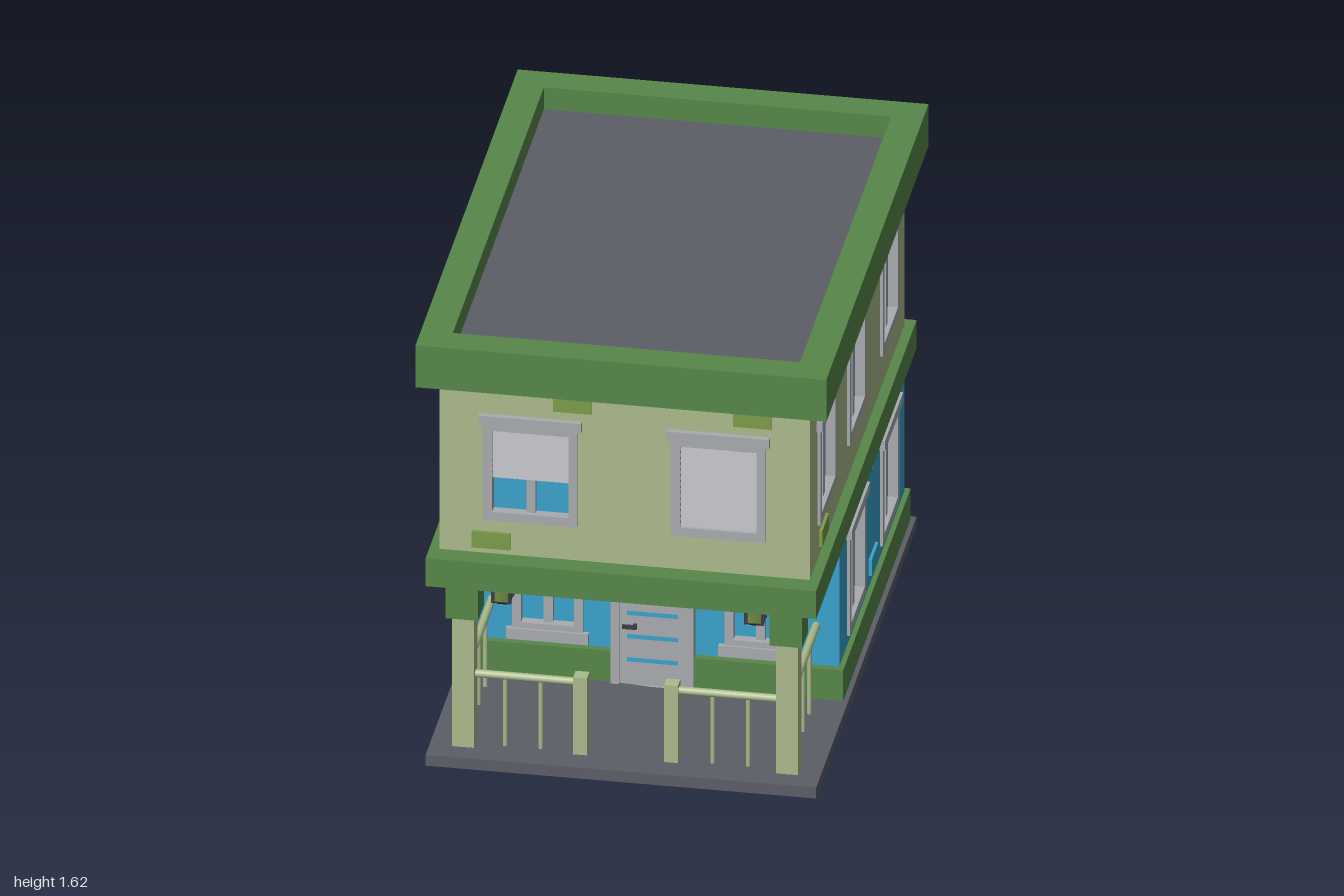
import * as THREE from 'three';

const mat = (name, color) => Object.assign(new THREE.MeshStandardMaterial({ color }), { name });

export function createModel() {
  const M = {
    green: mat('trim green', 0x58884a),
    pale: mat('pale wall green', 0xabbb8c),
    blue: mat('wall and glass blue', 0x3ba3cd),
    grey: mat('frame grey', 0xa9acb0),
    blind: mat('blind grey', 0xb4b6b9),
    slate: mat('slab slate', 0x5c5e67),
    olive: mat('brick olive', 0x7c9d4a),
    dark: mat('fitting dark', 0x3c3d45),
  };
  const root = new THREE.Group();
  root.name = 'house';

  const add = (parent, name, geo, material, x = 0, y = 0, z = 0) => {
    const m = new THREE.Mesh(geo, material);
    m.name = name;
    m.position.set(x, y, z);
    parent.add(m);
    return m;
  };
  // box given by its minimum and maximum along each axis
  const box = (parent, name, material, x0, x1, y0, y1, z0, z1) =>
    add(parent, name, new THREE.BoxGeometry(x1 - x0, y1 - y0, z1 - z0), material,
      (x0 + x1) / 2, (y0 + y1) / 2, (z0 + z1) / 2);
  const trace = (path, x0, x1, y0, y1) =>
    path.moveTo(x0, y0).lineTo(x1, y0).lineTo(x1, y1).lineTo(x0, y1).closePath();
  // rectangular plate with rectangular holes, running from z = 0 to depth
  const plate = (rect, holes, depth) => {
    const s = new THREE.Shape();
    trace(s, ...rect);
    holes.forEach(h => {
      const p = new THREE.Path();
      trace(p, ...h);
      s.holes.push(p);
    });
    return new THREE.ExtrudeGeometry(s, { depth, bevelEnabled: false });
  };

  // window in a wall whose outer face is local z = 0
  const addWindow = (face, { u, y0, y1, w = 0.326, sill = false, blindFrom = null }) => {
    const g = new THREE.Group();
    g.name = 'window';
    g.position.x = u;
    face.add(g);
    const h = w / 2, i = h - 0.031, b = y0 + 0.034, t = y1 - 0.025;
    add(g, 'windowFrame', plate([-h, h, y0, y1], [[-i, i, b, t]], 0.045), M.grey, 0, 0, -0.035);
    box(g, 'windowHead', M.grey, -h - 0.014, h + 0.014, y1 - 0.003, y1 + 0.035, -0.01, 0.02);
    box(g, 'glass', M.blue, -i, i, b, t, -0.034, -0.025);
    box(g, 'mullion', M.grey, -0.016, 0.016, b, t, -0.03, -0.006);
    if (sill) box(g, 'windowSill', M.grey, -h - 0.02, h + 0.02, y0 - 0.03, y0 + 0.012, -0.01, 0.018);
    if (blindFrom !== null) {
      const n = Math.round((t - blindFrom) / 0.023), step = (t - blindFrom) / n;
      for (let k = 0; k < n; k++) {
        const slat = add(g, 'blindSlat', new THREE.BoxGeometry(2 * i, step * 1.08, 0.003), M.blind,
          0, blindFrom + (k + 0.5) * step, -0.005);
        slat.rotation.x = -0.25;
      }
    }
  };

  // one wall with windows and protruding bricks; bricks are [centre, centre height]
  const addFace = (name, material, brickMat, angle, pos, width, y0, y1, windows, bricks) => {
    const face = new THREE.Group();
    face.name = name;
    face.rotation.y = angle;
    face.position.set(pos[0], 0, pos[1]);
    root.add(face);
    const holes = windows.map(({ u, y0: a, y1: b, w = 0.326 }) =>
      [u - w / 2 + 0.01, u + w / 2 - 0.01, a + 0.01, b - 0.01]);
    add(face, 'wall', plate([-width / 2, width / 2, y0, y1], holes, 0.04), material, 0, 0, -0.04);
    windows.forEach(o => addWindow(face, o));
    bricks.forEach(([u, y]) =>
      box(face, 'brick', brickMat, u - 0.066, u + 0.066, y - 0.031, y + 0.031, -0.01, 0.011));
    return face;
  };

  // ground slab, plinth and bands
  box(root, 'groundSlab', M.slate, -0.675, 0.675, 0, 0.042, -0.965, 1);
  box(root, 'plinth', M.green, -0.658, 0.658, 0.042, 0.16, -0.945, 0.375);
  box(root, 'floorBand', M.green, -0.675, 0.675, 0.695, 0.803, -0.965, 1);
  const parapet = add(root, 'roofParapet', plate([-0.71, 0.71, -1, 1], [[-0.6, 0.6, -0.89, 0.89]], 0.162),
    M.green, 0, 1.462, 0);
  parapet.rotation.x = -Math.PI / 2;
  box(root, 'roofDeck', M.slate, -0.6, 0.6, 1.465, 1.54, -0.89, 0.89);

  // upper storey
  const up = { y0: 0.935, y1: 1.307 };
  const upper = (name, angle, pos, width, windows, bricks) =>
    addFace(name, M.pale, M.olive, angle, pos, width, 0.8, 1.465, windows, bricks);
  upper('upperFront', 0, [0, 0.925], 1.28,
    [{ u: -0.325, ...up, blindFrom: 1.098 }, { u: 0.325, ...up, blindFrom: 0.969 }],
    [[-0.18, 1.408], [0.442, 1.408], [-0.461, 0.856]]);
  upper('upperBack', Math.PI, [0, -0.925], 1.28,
    [{ u: -0.325, ...up }, { u: 0.325, ...up }], [[0.42, 1.41], [-0.18, 0.865]]);
  for (const s of [1, -1]) {
    upper('upperSide', s * Math.PI / 2, [s * 0.64, 0], 1.85,
      [0.614, 0.037, -0.61].map(z => ({ u: -s * z, ...up })),
      [[s * 0.707, 1.41], [-s * 0.677, 0.865]]);
  }

  // ground storey
  const low = { y0: 0.2, y1: 0.582 };
  const lower = (name, angle, pos, width, windows, bricks) =>
    addFace(name, M.blue, M.blue, angle, pos, width, 0.1, 0.7, windows, bricks);
  lower('lowerFront', 0, [0, 0.35], 1.28,
    [-0.367, 0.367].map(u => ({ u, ...low, w: 0.245, sill: true })), [[-0.095, 0.642]]);
  lower('lowerBack', Math.PI, [0, -0.925], 1.28, [], [[0.213, 0.525], [-0.22, 0.205]]);
  const mid = -0.2875;
  for (const s of [1, -1]) {
    lower('lowerSide', s * Math.PI / 2, [s * 0.64, mid], 1.275,
      [0.037, -0.61].map(z => ({ u: -s * (z - mid), ...low })),
      s > 0 ? [[0.312 + mid, 0.642], [0.29 + mid, 0.236]] : []);
  }

  // front door
  const door = new THREE.Group();
  door.name = 'frontDoor';
  root.add(door);
  add(door, 'doorFrame', plate([-0.143, 0.143, 0.042, 0.522], [[-0.114, 0.114, 0.042, 0.49]], 0.047),
    M.grey, 0, 0, 0.342);
  box(door, 'doorLeaf', M.grey, -0.114, 0.114, 0.042, 0.49, 0.342, 0.38);
  for (const y of [0.137, 0.227, 0.317, 0.41])
    box(door, 'doorSlot', M.blue, -0.088, 0.088, y - 0.008, y + 0.008, 0.377, 0.382);
  box(door, 'handleStem', M.dark, -0.066, -0.054, 0.265, 0.277, 0.378, 0.398);
  box(door, 'doorHandle', M.dark, -0.102, -0.052, 0.264, 0.278, 0.393, 0.402);

  // porch
  const porch = new THREE.Group();
  porch.name = 'porch';
  root.add(porch);
  box(porch, 'ceilingStrip', M.slate, -0.51, 0.51, 0.684, 0.697, 0.83, 0.94);
  const rod = (name, r, len, x, y, z) =>
    add(porch, name, new THREE.CylinderGeometry(r, r, len, 16), M.pale, x, y, z);
  for (const s of [1, -1]) {
    const cx = s * 0.56, cz = 0.885;
    box(porch, 'column', M.pale, cx - 0.038, cx + 0.038, 0.042, 0.55, cz - 0.038, cz + 0.038);
    box(porch, 'columnCapital', M.green, cx - 0.056, cx + 0.056, 0.545, 0.697, cz - 0.056, cz + 0.056);
    const px = s * 0.157;
    box(porch, 'gatePost', M.pale, px - 0.024, px + 0.024, 0.042, 0.34, cz - 0.024, cz + 0.024);
    rod('frontRail', 0.014, 0.36, s * 0.352, 0.312, cz).rotation.z = Math.PI / 2;
    rod('sideRail', 0.014, 0.51, cx, 0.312, 0.598).rotation.x = Math.PI / 2;
    for (const x of [0.42, 0.297]) rod('baluster', 0.008, 0.262, s * x, 0.172, cz);
    for (const z of [0.738, 0.61, 0.481]) rod('baluster', 0.008, 0.262, cx, 0.172, z);

    // hanging lantern: dark cage with a coloured body
    const lamp = new THREE.Group();
    lamp.name = 'lantern';
    lamp.position.set(s * 0.437, 0, 0.837);
    porch.add(lamp);
    const frustum = (name, top, bottom, y0, y1, m) => {
      const k = Math.SQRT1_2;
      add(lamp, name, new THREE.CylinderGeometry(top / k, bottom / k, y1 - y0, 4).toNonIndexed(), m,
        0, (y0 + y1) / 2, 0).rotation.y = Math.PI / 4;
    };
    frustum('lanternCap', 0.03, 0.038, 0.667, 0.69, M.dark);
    frustum('lanternGlass', 0.031, 0.026, 0.582, 0.668, M.olive);
    frustum('lanternBase', 0.032, 0.012, 0.567, 0.583, M.dark);
    for (const a of [1, -1]) for (const b of [1, -1])
      box(lamp, 'lanternBar', M.dark, a * 0.029 - 0.005, a * 0.029 + 0.005, 0.58, 0.67,
        b * 0.029 - 0.005, b * 0.029 + 0.005);
  }
  return root;
}
